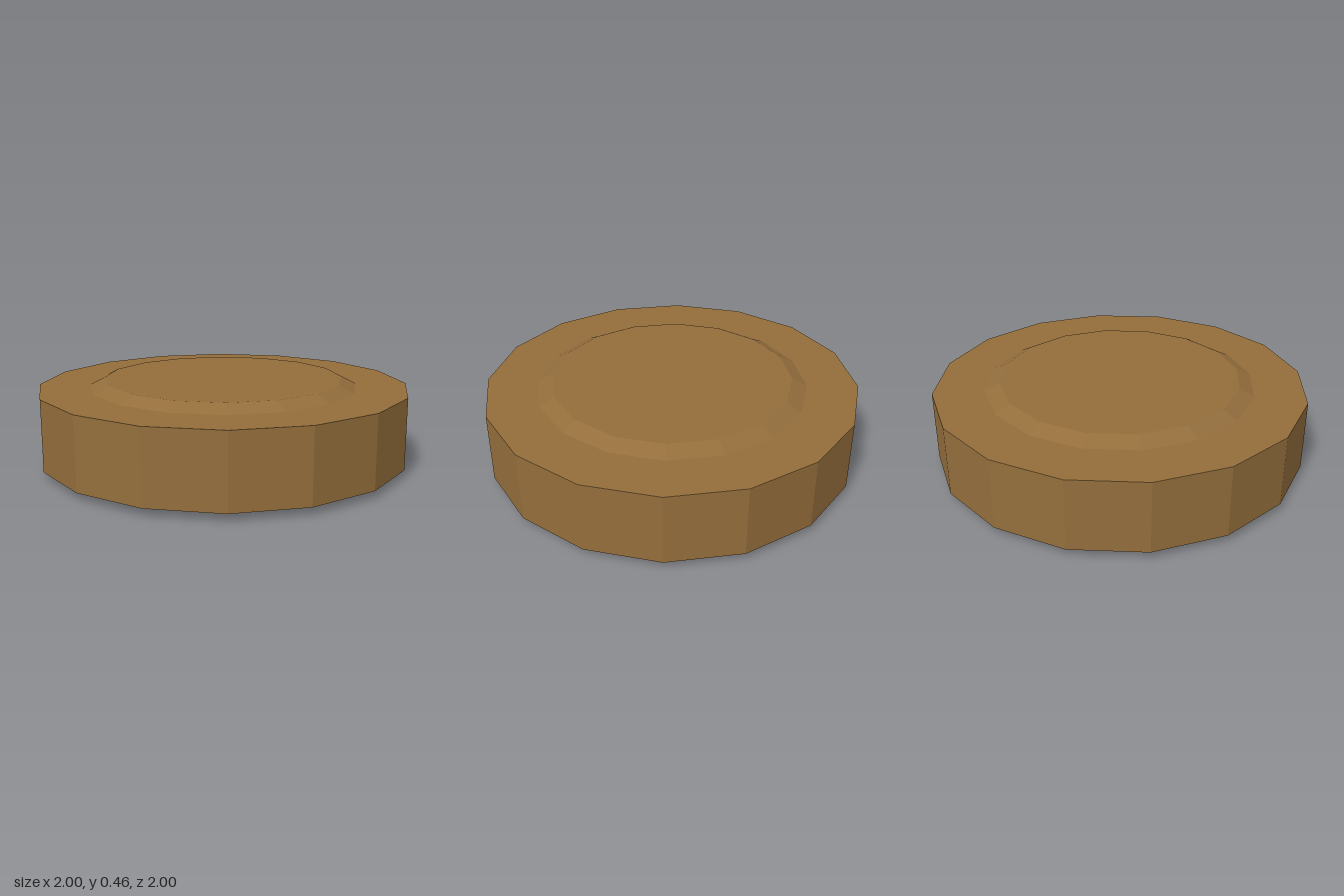
import * as THREE from 'three';

const SIDES = 16;

export function createModel() {
  const group = new THREE.Group();
  group.name = 'disc';
  const brown = new THREE.MeshStandardMaterial({ color: 0x946e3c, flatShading: true });
  brown.name = 'brown';

  // Adds a faceted round slab spanning y0 to y1
  const addSlab = (name, topRadius, bottomRadius, y0, y1) => {
    const geometry = new THREE.CylinderGeometry(topRadius, bottomRadius, y1 - y0, SIDES);
    const mesh = new THREE.Mesh(geometry, brown);
    mesh.name = name;
    mesh.position.y = (y0 + y1) / 2;
    group.add(mesh);
  };

  // Thick body with a bevelled raised plate on each face
  addSlab('body', 1, 1, 0.04, 0.42);
  addSlab('topPlate', 0.645, 0.725, 0.42, 0.46);
  addSlab('bottomPlate', 0.725, 0.645, 0, 0.04);

  return group;
}
